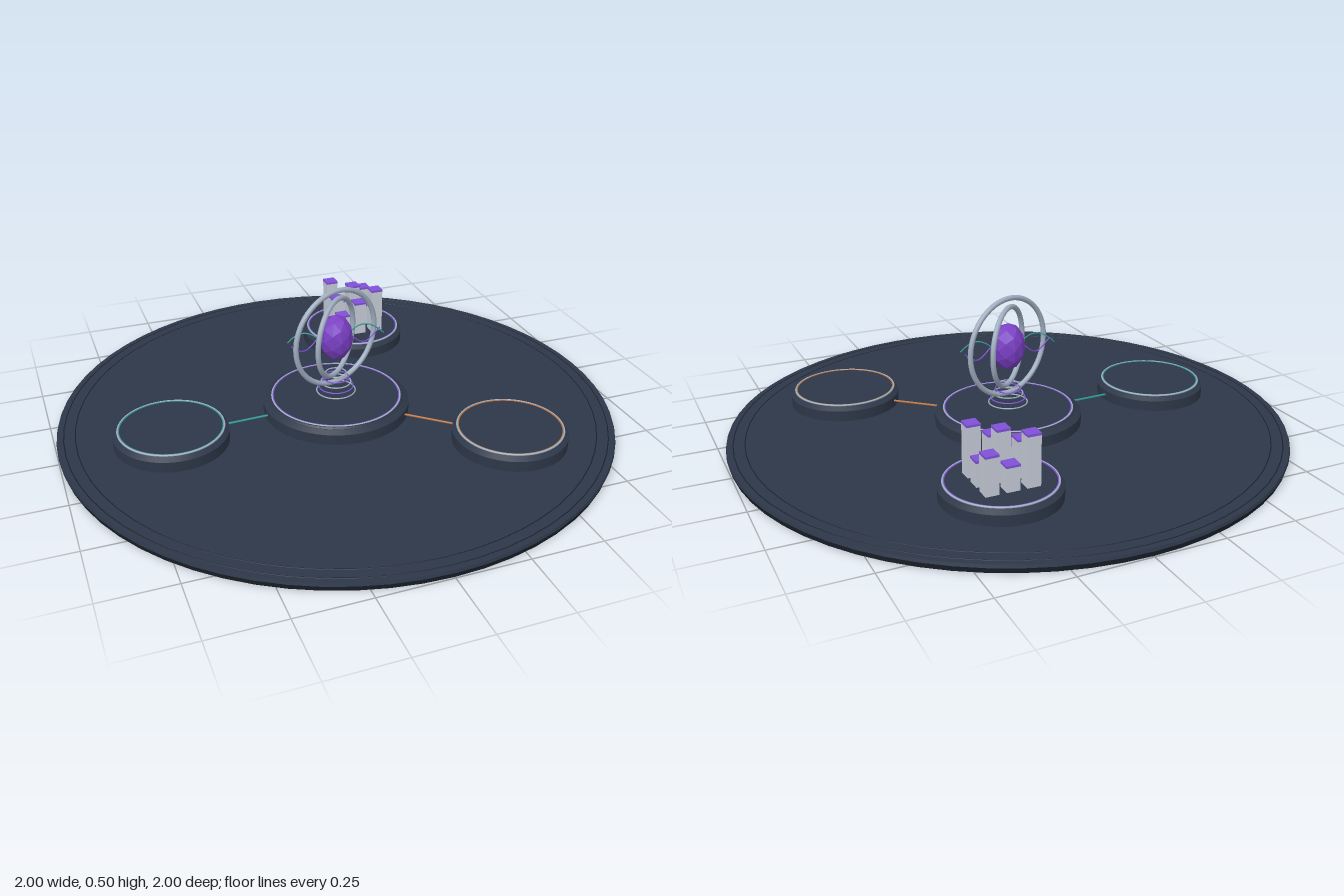
import * as THREE from 'three';

const mat = (color, extra = {}) => new THREE.MeshStandardMaterial({ color, ...extra });
const M = {
  deck: mat(0x2d3748),
  dark: mat(0x1a202c),
  silver: mat(0xa0aec0),
  tower: mat(0xc4cad6),
  purple: mat(0x8050d8),
  core: mat(0x7a3fc4, { flatShading: true }),
  teal: mat(0x319795),
  orange: mat(0xb7703a),
};

function add(parent, name, geometry, material, x = 0, y = 0, z = 0) {
  const mesh = new THREE.Mesh(geometry, material);
  mesh.name = name;
  mesh.position.set(x, y, z);
  parent.add(mesh);
  return mesh;
}

// Disc between heights y0 and y1
function disc(parent, name, rTop, rBottom, y0, y1, material) {
  return add(parent, name, new THREE.CylinderGeometry(rTop, rBottom, y1 - y0, 64), material, 0, (y0 + y1) / 2, 0);
}

// Horizontal ring
function hoop(parent, name, radius, tube, y, material) {
  const ring = add(parent, name, new THREE.TorusGeometry(radius, tube, 8, 64), material, 0, y, 0);
  ring.rotation.x = Math.PI / 2;
  return ring;
}

// Stepped round pedestal with a bright ring and an accent ring on top
function pedestal(name, r, x, z, accent) {
  const g = new THREE.Group();
  g.name = name;
  g.position.set(x, 0, z);
  disc(g, 'pedestalBody', r, r, 0.025, 0.066, M.deck);
  disc(g, 'pedestalBevel', r - 0.018, r, 0.066, 0.078, M.deck);
  disc(g, 'pedestalTop', r - 0.025, r - 0.02, 0.078, 0.084, M.deck);
  const ringRadius = r === 0.265 ? 0.233 : 0.183;
  hoop(g, 'trimRing', ringRadius, 0.0035, 0.083, M.silver);
  hoop(g, 'accentRing', ringRadius - 0.004, 0.0025, 0.0835, accent);
  return g;
}

export function createModel() {
  const model = new THREE.Group();
  model.name = 'platform';

  // Round base
  const base = new THREE.Group();
  base.name = 'base';
  model.add(base);
  disc(base, 'baseUnderside', 1, 0.995, 0, 0.018, M.dark);
  disc(base, 'baseDeck', 0.997, 1, 0.018, 0.028, M.deck);
  for (const r of [0.935, 0.975]) hoop(base, 'rimLine', r, 0.002, 0.0275, M.dark);

  // Pedestals and the conduits that join them to the centre
  const centre = pedestal('centrePedestal', 0.265, 0, 0, M.purple);
  model.add(centre);
  const satellites = [
    ['rightPedestal', -0.615, 0.025, M.teal],
    ['backPedestal', 0.265, -0.525, M.purple],
    ['frontPedestal', 0.485, 0.425, M.orange],
  ];
  for (const [name, x, z, accent] of satellites) {
    model.add(pedestal(name, 0.2, x, z, accent));
    const path = new THREE.LineCurve3(
      new THREE.Vector3(x * 0.3, 0.05, z * 0.3), new THREE.Vector3(x * 0.8, 0.05, z * 0.8));
    add(model, 'conduit', new THREE.TubeGeometry(path, 1, 0.004, 8), accent);
  }

  // Floating core with upright gimbal rings
  const gyro = new THREE.Group();
  gyro.name = 'gyroscope';
  gyro.position.y = 0.312;
  model.add(gyro);
  add(gyro, 'core', new THREE.IcosahedronGeometry(0.062, 1), M.core).scale.y = 1.4;
  for (const [name, r, turn] of [['outerRing', 0.177, 0.32], ['innerRing', 0.142, 0.77]]) {
    add(gyro, name, new THREE.TorusGeometry(r, 0.0095, 10, 64), M.silver).rotation.y = turn;
  }

  // Two strands winding through the core
  [M.purple, M.teal].forEach((material, k) => {
    const points = [];
    for (let i = 0; i <= 48; i++) {
      const x = -0.175 + (0.35 * i) / 48;
      const a = (x / 0.23) * Math.PI * 2 + k * Math.PI;
      points.push(new THREE.Vector3(x, 0.034 * Math.cos(a), 0.018 * Math.sin(a)));
    }
    add(gyro, 'strand', new THREE.TubeGeometry(new THREE.CatmullRomCurve3(points), 64, 0.0025, 6), material);
  });

  // Narrowing stack of thin rings below the core
  for (let i = 0; i < 5; i++) {
    hoop(model, 'liftRing', 0.07 - i * 0.008, 0.0025, 0.1 + i * 0.017, i % 2 ? M.purple : M.silver);
  }

  // Grid of square towers with coloured caps
  const towers = new THREE.Group();
  towers.name = 'towers';
  towers.position.set(0.265, 0.083, -0.525);
  model.add(towers);
  const heights = [0.082, 0.127, 0.172];
  for (let i = 0; i < 3; i++) {
    for (let j = 0; j < 3; j++) {
      const h = heights[(i + j) % 3];
      const x = (i - 1) * 0.07, z = (1 - j) * 0.07;
      add(towers, 'tower', new THREE.BoxGeometry(0.046, h, 0.046), M.tower, x, h / 2, z);
      add(towers, 'towerCap', new THREE.BoxGeometry(0.047, 0.008, 0.047), M.purple, x, h + 0.004, z);
    }
  }
  return model;
}
